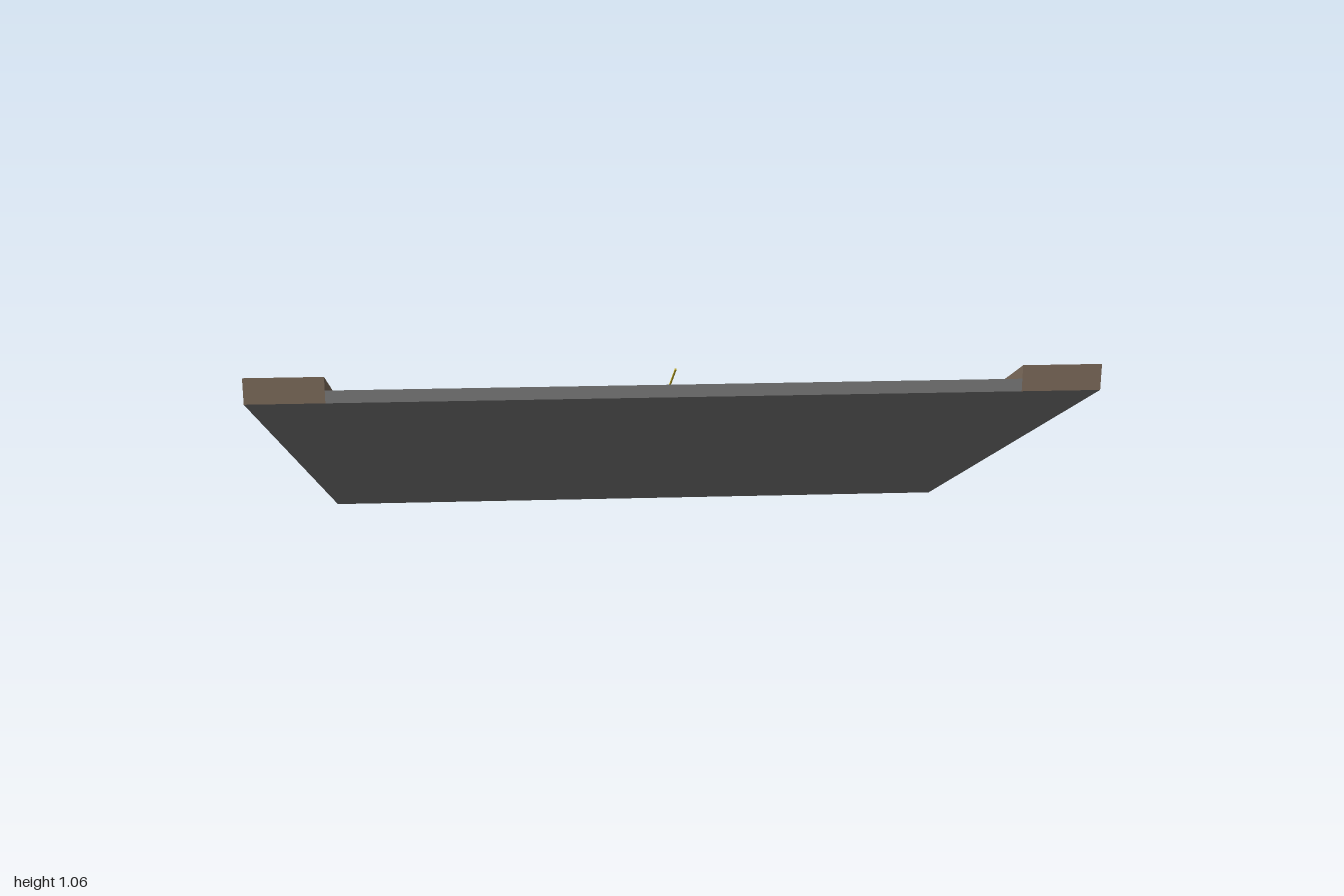
import * as THREE from 'three';

const road = new THREE.MeshStandardMaterial({ name: 'asphalt grey', color: 0x808080 });
const kerb = new THREE.MeshStandardMaterial({ name: 'kerb brown', color: 0x82705f });
const paint = new THREE.MeshStandardMaterial({ name: 'line yellow', color: 0xecd23c });
const dark = new THREE.MeshStandardMaterial({ name: 'stud dark grey', color: 0x484848 });

// Box given by its ranges, with heights measured from the sloping underside.
function slopedBox(name, material, [x0, x1], [y0, y1], [z0, z1]) {
  const geometry = new THREE.BoxGeometry(x1 - x0, y1 - y0, z1 - z0);
  geometry.translate((x0 + x1) / 2, (y0 + y1) / 2, (z0 + z1) / 2);
  const p = geometry.attributes.position;
  for (let i = 0; i < p.count; i++) p.setY(i, p.getY(i) + (p.getZ(i) + 1) / 2);
  geometry.computeVertexNormals();
  const mesh = new THREE.Mesh(geometry, material);
  mesh.name = name;
  return mesh;
}

export function createModel() {
  const ramp = new THREE.Group();
  ramp.name = 'roadRamp';

  // Roadway, rising towards the front
  ramp.add(slopedBox('roadway', road, [-0.813, 0.813], [0, 0.031], [-1, 1]));

  // Raised kerbs; their underside continues the grey slab
  const kerbFaces = [kerb, kerb, kerb, road, kerb, kerb];
  ramp.add(slopedBox('leftKerb', kerbFaces, [0.813, 1], [0, 0.064], [-1, 1]));
  ramp.add(slopedBox('rightKerb', kerbFaces, [-1, -0.813], [0, 0.064], [-1, 1]));

  // Paired painted dashes at both ends
  const dashes = [[-0.97, -0.795], [-0.765, -0.59], [-0.478, -0.303],
    [0.3, 0.475], [0.588, 0.763], [0.792, 0.967]];
  for (const z of dashes) {
    for (const x of [-0.017, 0.017]) {
      ramp.add(slopedBox('laneDash', paint, [x - 0.005, x + 0.005], [0.031, 0.034], z));
    }
  }

  // Thin raised centre strips
  for (const [z0, z1, y] of [[-0.995, -0.44, 0.073], [-0.3, 0.26, 0.064], [0.41, 0.965, 0.073]]) {
    ramp.add(slopedBox('centreStrip', paint, [-0.002, 0.002], [y, y + 0.004], [z0, z1]));
  }

  // Small dark studs, one in each lane
  for (const [x, z] of [[0.735, -0.54], [-0.74, 0.5]]) {
    ramp.add(slopedBox('roadStud', dark, [x - 0.018, x + 0.018], [0.031, 0.037], [z - 0.004, z + 0.004]));
  }
  return ramp;
}
